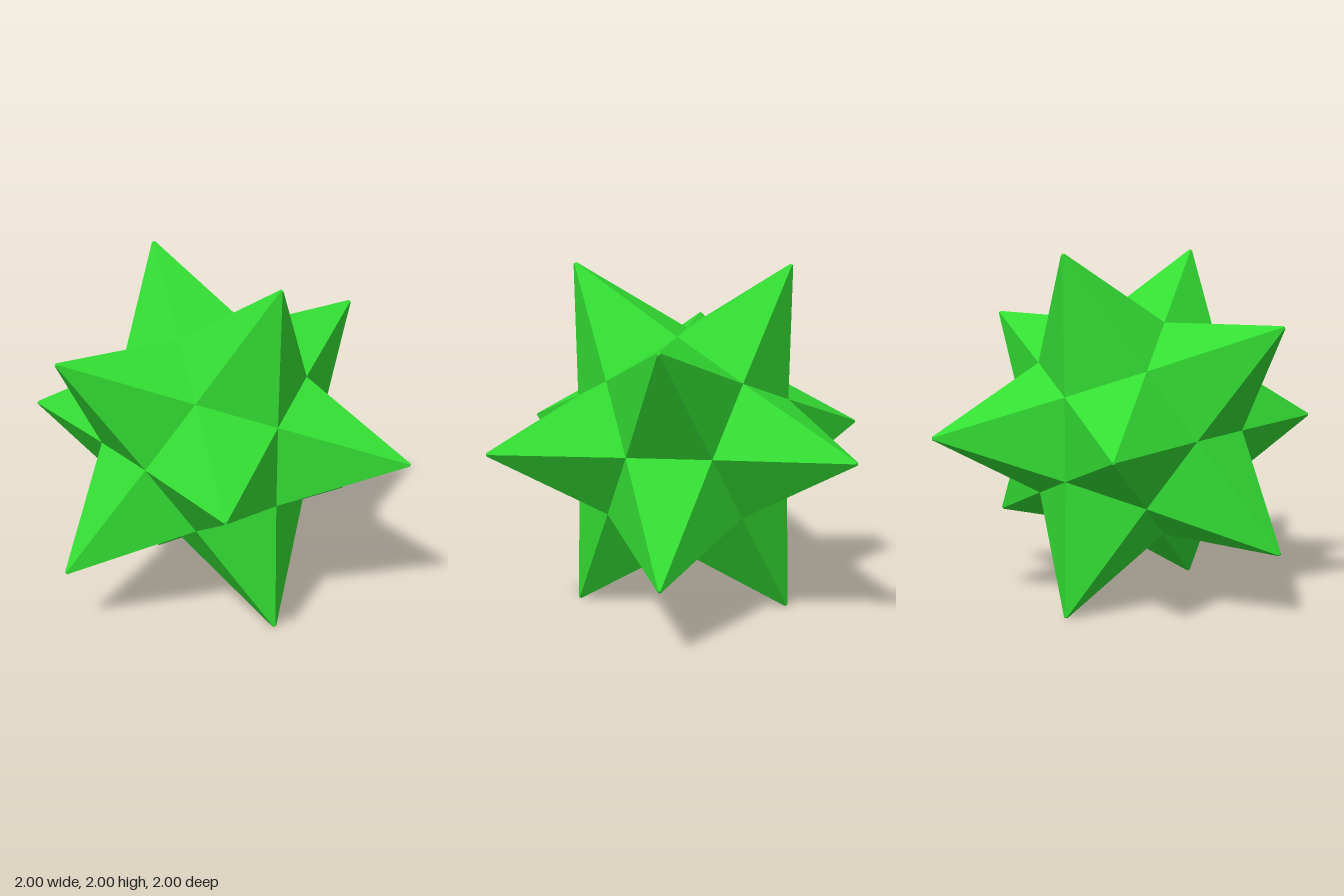
import * as THREE from 'three';

// Small stellated dodecahedron: twelve five-sided spikes pointing at icosahedron corners.
export function createModel() {
  const model = new THREE.Group();
  model.name = 'star';
  const material = new THREE.MeshStandardMaterial({ color: 0x33dd33, flatShading: true });

  // One spike along +y, slightly blunted at the tip, its base a face of the inner dodecahedron
  const tip = 1.1705, base = 0.518;
  const spikeGeometry = new THREE.CylinderGeometry(0.01, 0.3957, tip - base, 5, 1);
  spikeGeometry.translate(0, (tip + base) / 2, 0);

  const invPhi = (Math.sqrt(5) - 1) / 2;
  for (let axis = 0; axis < 3; axis++) {
    for (const s of [1, -1]) {
      for (const t of [1, -1]) {
        // Spike direction: cyclic permutations of (±1, ±1/phi, 0)
        const dir = new THREE.Vector3().setComponent(axis, s)
          .setComponent((axis + 1) % 3, t * invPhi).normalize();
        // Roll the spike so that one ridge lies in its mirror plane
        const ridge = new THREE.Vector3().setComponent((axis + 1) % 3, t);
        ridge.addScaledVector(dir, -ridge.dot(dir)).normalize();
        const side = new THREE.Vector3().crossVectors(dir, ridge);

        const spike = new THREE.Mesh(spikeGeometry, material);
        spike.name = 'spike';
        spike.quaternion.setFromRotationMatrix(new THREE.Matrix4().makeBasis(side, dir, ridge));
        spike.position.y = 1;
        model.add(spike);
      }
    }
  }
  return model;
}
